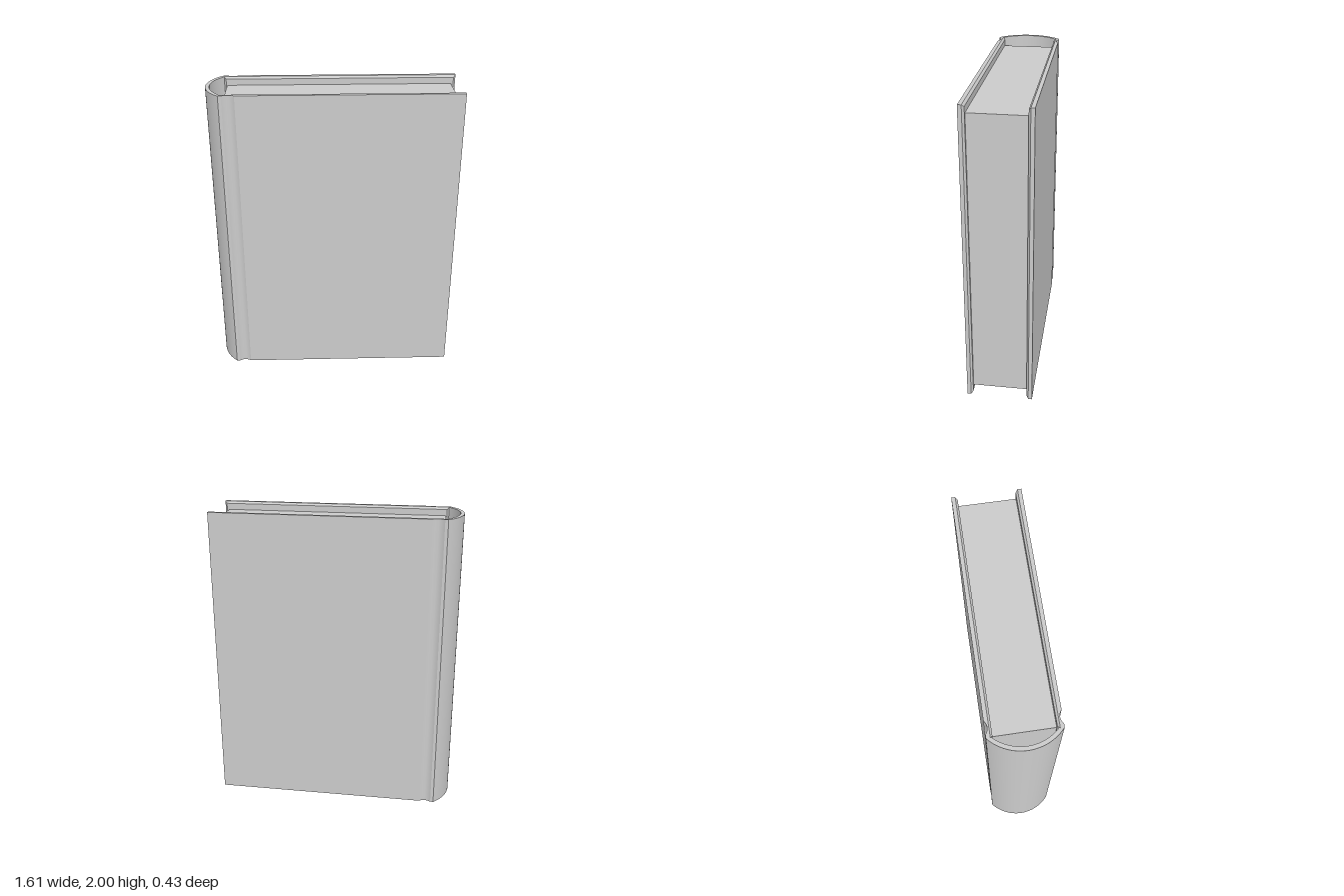
import * as THREE from 'three';
import { toCreasedNormals } from 'three/addons/utils/BufferGeometryUtils.js';

const HEIGHT = 2, OUT = 0.214, BOARD_IN = 0.19, LINING_IN = 0.177;
const material = new THREE.MeshStandardMaterial({ color: 0xcccccc });

function part(name, geometry, parent) {
  const mesh = new THREE.Mesh(geometry, material);
  mesh.name = name;
  parent.add(mesh);
  return mesh;
}

// Arc bulging to -x, from (xEnd, -half) to (xEnd, half)
function spineArc(xEnd, xTip, half, steps = 32) {
  const sag = xEnd - xTip;
  const radius = (half * half + sag * sag) / (2 * sag);
  const limit = Math.asin(half / radius);
  return Array.from({ length: steps + 1 }, (_, i) => {
    const a = limit * (2 * i / steps - 1);
    return new THREE.Vector2(xTip + radius * (1 - Math.cos(a)), radius * Math.sin(a));
  });
}

// Hollow hinge groove along the outer face, from the spine towards the board
function hingeGroove(side, steps = 10) {
  return Array.from({ length: steps + 1 }, (_, i) => {
    const t = i / steps;
    return new THREE.Vector2(-0.69 + 0.08 * t, side * (OUT - 0.015 * 4 * t * (1 - t)));
  });
}

// Both boards and the rounded spine as one C-shaped section
function coverGeometry() {
  const section = [
    new THREE.Vector2(0.805, -BOARD_IN),
    new THREE.Vector2(0.805, -OUT),
    ...hingeGroove(-1).reverse(),
    ...spineArc(-0.71, -0.808, OUT),
    ...hingeGroove(1),
    new THREE.Vector2(0.805, OUT),
    new THREE.Vector2(0.805, BOARD_IN),
    new THREE.Vector2(-0.71, BOARD_IN),
    ...spineArc(-0.708, -0.783, 0.183).reverse(),
    new THREE.Vector2(-0.71, -BOARD_IN),
  ];
  const geometry = new THREE.ExtrudeGeometry(new THREE.Shape(section), {
    depth: HEIGHT, bevelEnabled: false,
  });
  geometry.rotateX(-Math.PI / 2);
  return toCreasedNormals(geometry, 0.35);
}

// Slab on the inside of a board, its inner face drawn in to give bevelled edges
function liningGeometry(side) {
  const x0 = -0.71, x1 = 0.805, depth = BOARD_IN - LINING_IN, bevel = 0.014;
  const geometry = new THREE.BoxGeometry(x1 - x0, HEIGHT, depth);
  const p = geometry.attributes.position;
  for (let i = 0; i < p.count; i++) {
    if (p.getZ(i) * side < 0) {
      p.setX(i, p.getX(i) - Math.sign(p.getX(i)) * bevel);
      p.setY(i, p.getY(i) - Math.sign(p.getY(i)) * bevel);
    }
  }
  geometry.computeVertexNormals();
  geometry.translate((x0 + x1) / 2, HEIGHT / 2, side * (BOARD_IN + LINING_IN) / 2);
  return geometry;
}

export function createModel() {
  const book = new THREE.Group();
  book.name = 'book';

  part('cover', coverGeometry(), book);
  part('frontLining', liningGeometry(1), book);
  part('backLining', liningGeometry(-1), book);

  // Page block, set in from the cover edges
  const pages = part('pages', new THREE.BoxGeometry(1.465, 1.89, LINING_IN * 2), book);
  pages.position.set(0.0425, HEIGHT / 2, 0);

  return book;
}
